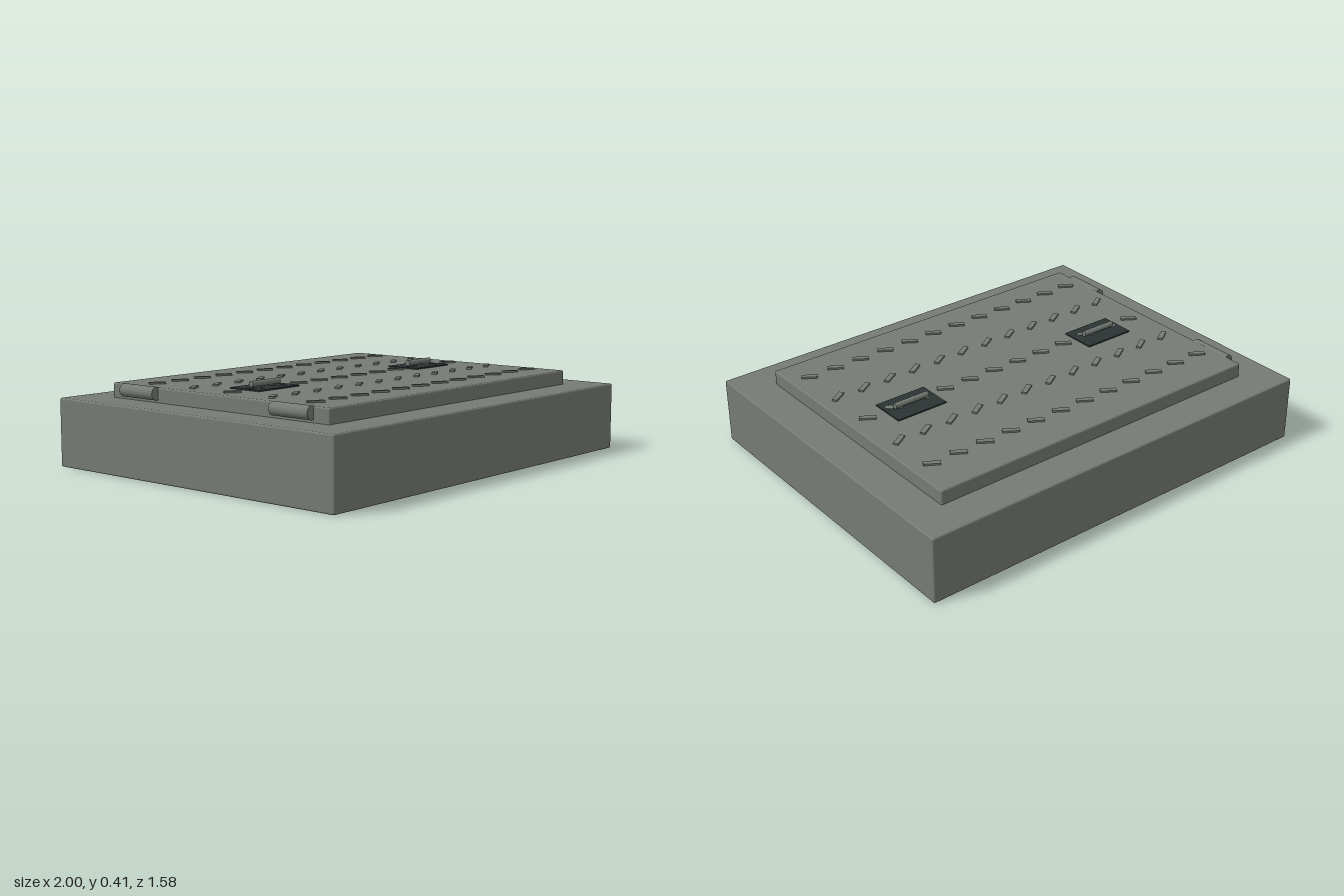
import * as THREE from 'three';
import { RoundedBoxGeometry } from 'three/addons/geometries/RoundedBoxGeometry.js';

export function createModel() {
  const group = new THREE.Group();
  const material = (name, color) => {
    const m = new THREE.MeshStandardMaterial({ color });
    m.name = name;
    return m;
  };
  const steel = material('grey green steel', 0x757b74);
  const dark = material('dark recess', 0x2c3333);

  const add = (name, geometry, mat, x, y, z) => {
    const mesh = new THREE.Mesh(geometry, mat);
    mesh.name = name;
    mesh.position.set(x, y, z);
    group.add(mesh);
    return mesh;
  };

  // Frame block and raised lid with softened edges
  add('base', new RoundedBoxGeometry(2, 0.305, 1.58, 2, 0.008), steel, 0, 0.1525, 0);
  add('lid', new RoundedBoxGeometry(1.67, 0.085, 1.25, 2, 0.008), steel, 0, 0.3275, 0);

  // Hinge barrels along the lid's right edge
  const barrel = new THREE.CylinderGeometry(0.029, 0.029, 0.205, 20).rotateX(Math.PI / 2);
  for (const z of [-0.44, 0.44]) add('hinge', barrel, steel, -0.843, 0.345, z);

  // Handle plates with a grab bar floating just above each
  const plate = new THREE.BoxGeometry(0.25, 0.009, 0.167);
  const bar = new THREE.CylinderGeometry(0.013, 0.013, 0.17, 16).rotateZ(Math.PI / 2);
  for (const x of [-0.533, 0.533]) {
    add('handlePlate', plate, dark, x, 0.3715, 0);
    add('handleBar', bar, steel, x, 0.392, 0);
  }

  // Anti-slip treads, slanting the other way on every second row
  const tread = new THREE.BoxGeometry(0.073, 0.012, 0.023);
  for (let row = 0; row < 5; row++) {
    for (let col = 0; col < 12; col++) {
      const mesh = add('tread', tread, steel, -0.745 + col * 0.1355, 0.372, -0.441 + row * 0.229);
      mesh.rotation.y = row % 2 ? 0.56 : -0.56;
    }
  }
  return group;
}
